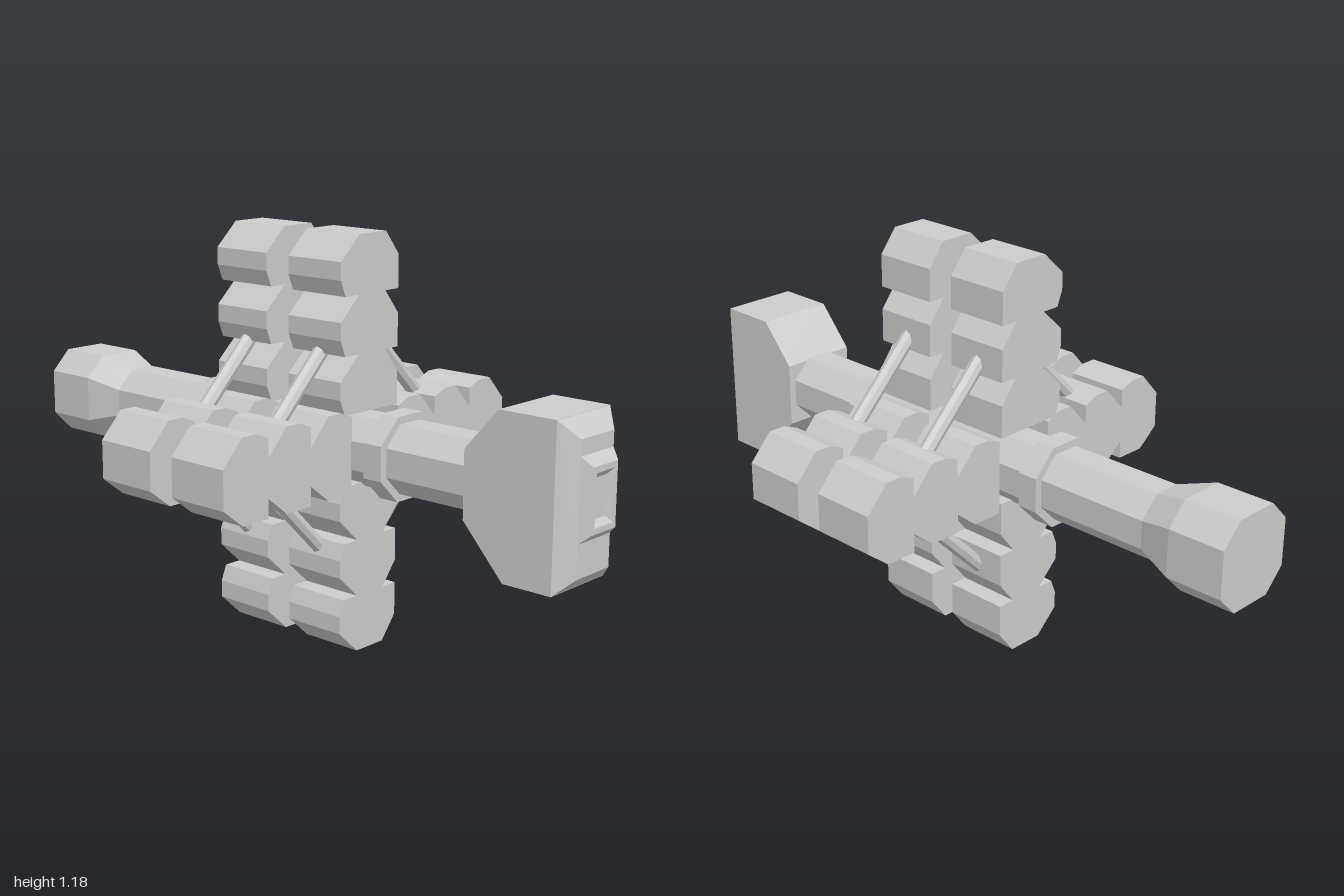
import * as THREE from 'three';

const material = new THREE.MeshStandardMaterial({ color: 0xcccccc, flatShading: true });
const AXIS_X = -0.003, AXIS_Y = 0.575;

// Closed solid through convex rings of [x, y] points, each at its own z (rising, counter-clockwise)
function loft(rings) {
  const pos = [], n = rings[0].pts.length;
  const v = (r, i) => [...rings[r].pts[i % n], rings[r].z];
  const tri = (a, b, c) => pos.push(...a, ...b, ...c);
  for (let r = 0; r < rings.length - 1; r++) {
    for (let i = 0; i < n; i++) {
      tri(v(r, i), v(r, i + 1), v(r + 1, i + 1));
      tri(v(r, i), v(r + 1, i + 1), v(r + 1, i));
    }
  }
  const last = rings.length - 1;
  for (let i = 1; i < n - 1; i++) {
    tri(v(0, 0), v(0, i + 1), v(0, i));
    tri(v(last, 0), v(last, i), v(last, i + 1));
  }
  const g = new THREE.BufferGeometry();
  g.setAttribute('position', new THREE.Float32BufferAttribute(pos, 3));
  g.computeVertexNormals();
  return g;
}

// Octagon ring: a = half width, s = half length of the flat sides
function octagon(z, a, s = a * 0.414) {
  const pts = [[a, -s], [a, s], [s, a], [-s, a], [-a, s], [-a, -s], [-s, -a], [s, -a]];
  return { z, pts: pts.map(([x, y]) => [x + AXIS_X, y + AXIS_Y]) };
}

function rect(z, x0, x1, y0, y1) {
  return { z, pts: [[x0, y0], [x1, y0], [x1, y1], [x0, y1]] };
}

function extrude(points, depth) {
  const shape = new THREE.Shape(points.map(([x, y]) => new THREE.Vector2(x, y)));
  return new THREE.ExtrudeGeometry(shape, { depth, bevelEnabled: false });
}

export function createModel() {
  const model = new THREE.Group();
  model.name = 'spaceStation';
  const add = (name, geometry, parent = model) => {
    const mesh = new THREE.Mesh(geometry, material);
    mesh.name = name;
    parent.add(mesh);
    return mesh;
  };

  // Central shaft with a flared rear end
  add('shaft', loft([
    octagon(-1, 0.13, 0.068), octagon(-0.83, 0.13, 0.068),
    octagon(-0.72, 0.0975), octagon(0.68, 0.0975),
  ]));

  // Collars around the shaft
  for (const z of [0.312, -0.373]) add('collar', loft([octagon(z, 0.119), octagon(z + 0.062, 0.119)]));

  // Head: profile in (z, y), extruded across x
  const headProfile = [[0.65, 0.476], [0.78, 0.333], [0.93, 0.333], [0.93, 0.786], [0.755, 0.786], [0.65, 0.667]];
  const headBody = extrude(headProfile, 0.235);
  headBody.rotateY(-Math.PI / 2);
  headBody.translate(0.116, 0, 0);
  add('headBody', headBody);
  add('headBevel', loft([
    rect(0.929, -0.119, 0.116, 0.333, 0.786),
    rect(0.973, -0.074, 0.071, 0.376, 0.737),
  ]));
  // Raised window frame with a shallow recess
  add('headWindow', loft([
    rect(0.972, -0.074, 0.071, 0.467, 0.694),
    rect(1, -0.055, 0.052, 0.492, 0.667),
    rect(1, -0.042, 0.039, 0.508, 0.65),
    rect(0.985, -0.03, 0.027, 0.525, 0.633),
  ]));

  // Pod outline: [sideways, distance inward from the outer face]
  const pod = [[-0.072, 0], [0.037, 0], [0.091, 0.068], [0.091, 0.163], [-0.127, 0.163], [-0.145, 0.118], [-0.145, 0.068]];
  const arms = {
    topArm: (s, r) => [s, 1.178 - r],
    bottomArm: (s, r) => [s, r],
    leftArm: (s, r) => [0.587 - r, 0.555 - s],
    rightArm: (s, r) => [-0.587 + r, 0.555 - s],
  };

  // Two cross-shaped clusters of pods, braced by diagonal struts
  for (const [name, z0] of [['frontCluster', 0.055], ['rearCluster', -0.222]]) {
    const cluster = new THREE.Group();
    cluster.name = name;
    cluster.position.z = z0;
    model.add(cluster);
    for (const [armName, place] of Object.entries(arms)) {
      const arm = new THREE.Group();
      arm.name = armName;
      cluster.add(arm);
      for (let k = 0; k < 3; k++) {
        add('pod', extrude(pod.map(([s, r]) => place(s, r + k * 0.163)), 0.193), arm);
      }
    }
    for (const sx of [-1, 1]) {
      for (const sy of [-1, 1]) {
        const strut = add('strut', new THREE.CylinderGeometry(0.022, 0.022, 0.38, 8), cluster);
        strut.position.set(sx * 0.2 - 0.003, AXIS_Y + sy * 0.196, 0.0965);
        strut.rotation.z = sx * sy * Math.PI / 4;
      }
    }
  }
  return model;
}
